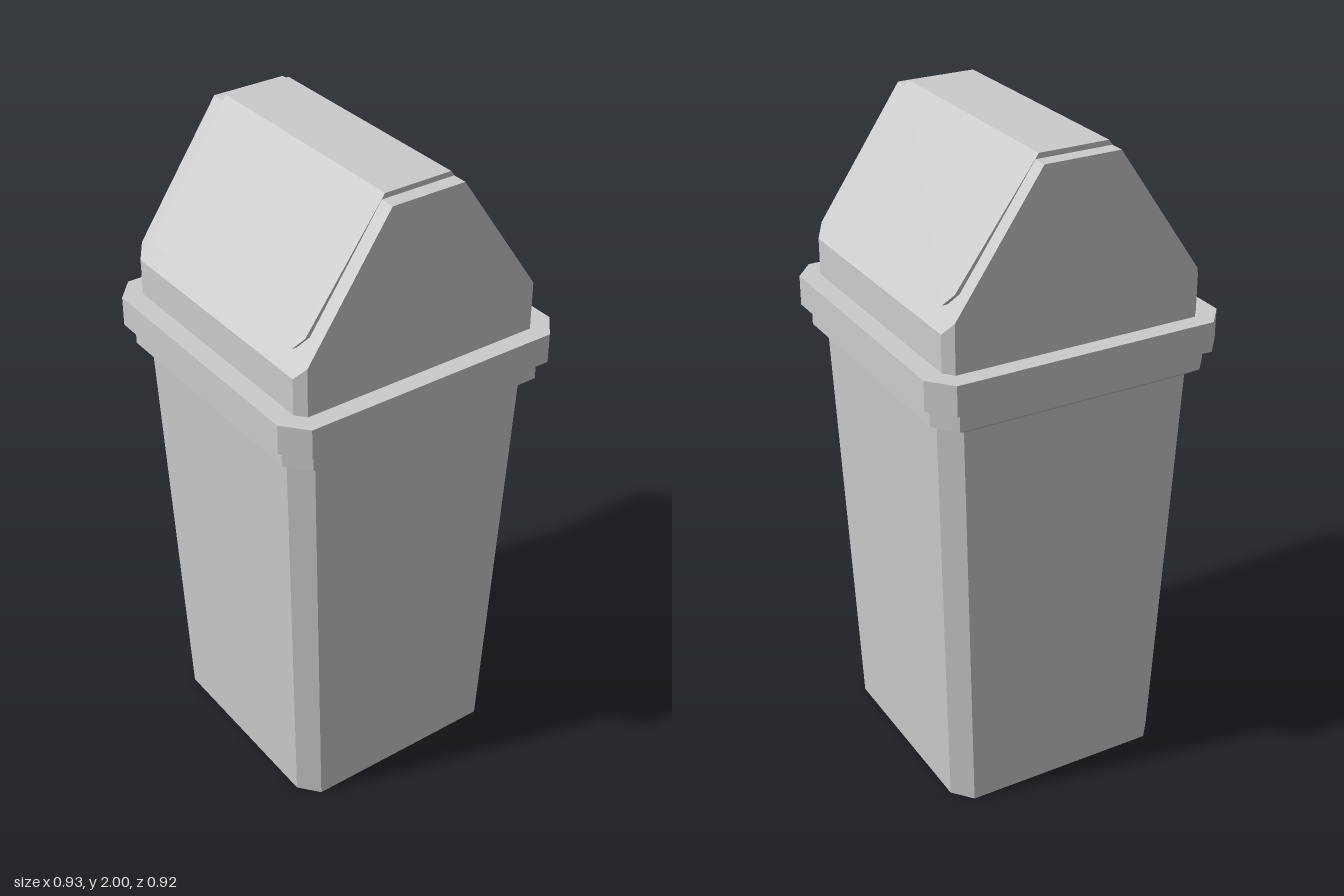
import * as THREE from 'three';
import { ConvexGeometry } from 'three/addons/geometries/ConvexGeometry.js';

const material = new THREE.MeshStandardMaterial({ color: 0xcccccc, flatShading: true });

// Rectangle with cut corners: half width w, half depth d, cuts cx and cz
function ring([y, w, d, cx, cz]) {
  return [
    [w, y, -d + cz], [w, y, d - cz], [w - cx, y, d], [-w + cx, y, d],
    [-w, y, d - cz], [-w, y, -d + cz], [-w + cx, y, -d], [w - cx, y, -d],
  ];
}

// Capped solid through a stack of cut-corner rings, bottom to top
function loft(sections) {
  const rings = sections.map(ring);
  const n = 8, last = rings.length - 1, index = [];
  for (let r = 0; r < last; r++) {
    for (let i = 0; i < n; i++) {
      const a = r * n + i, b = r * n + (i + 1) % n;
      index.push(a, a + n, b, b, a + n, b + n);
    }
  }
  for (let i = 1; i < n - 1; i++) {
    index.push(0, i, i + 1);
    index.push(last * n, last * n + i + 1, last * n + i);
  }
  const g = new THREE.BufferGeometry();
  g.setAttribute('position', new THREE.Float32BufferAttribute(rings.flat(2), 3));
  g.setIndex(index);
  const flat = g.toNonIndexed();
  flat.computeVertexNormals();
  return flat;
}

// Convex solid from corners mirrored across x and z
function mirroredHull(corners) {
  const points = [];
  for (const [x, y, z] of corners)
    for (const sx of [-1, 1])
      for (const sz of [-1, 1]) points.push(new THREE.Vector3(x * sx, y, z * sz));
  return new ConvexGeometry(points);
}

export function createModel() {
  const group = new THREE.Group();
  const add = (name, geometry) => {
    const mesh = new THREE.Mesh(geometry, material);
    mesh.name = name;
    group.add(mesh);
  };

  // Tapered bin with a flared lip at the top
  add('binBody', loft([
    [0, 0.36, 0.355, 0.06, 0.05],
    [1.285, 0.405, 0.4, 0.06, 0.05],
  ]));
  add('binLip', loft([
    [1.285, 0.405, 0.4, 0.06, 0.05],
    [1.31, 0.44, 0.435, 0.065, 0.055],
    [1.37, 0.44, 0.435, 0.065, 0.055],
  ]));

  // Overhanging band of the lid
  add('lidRim', loft([
    [1.37, 0.465, 0.46, 0.07, 0.06],
    [1.46, 0.465, 0.46, 0.07, 0.06],
  ]));

  // Hood with sloping front and back and upright sides
  add('lidHood', mirroredHull([
    [0.41, 1.46, 0.375], [0.38, 1.46, 0.4],
    [0.41, 1.606, 0.375], [0.38, 1.57, 0.4],
    [0.41, 1.985, 0.115],
  ]));

  // Swing flap, standing slightly proud of both slopes
  add('swingFlap', mirroredHull([
    [0.365, 2, 0.105], [0.365, 1.664, 0.35], [0.34, 1.63, 0.375],
  ]));

  return group;
}
